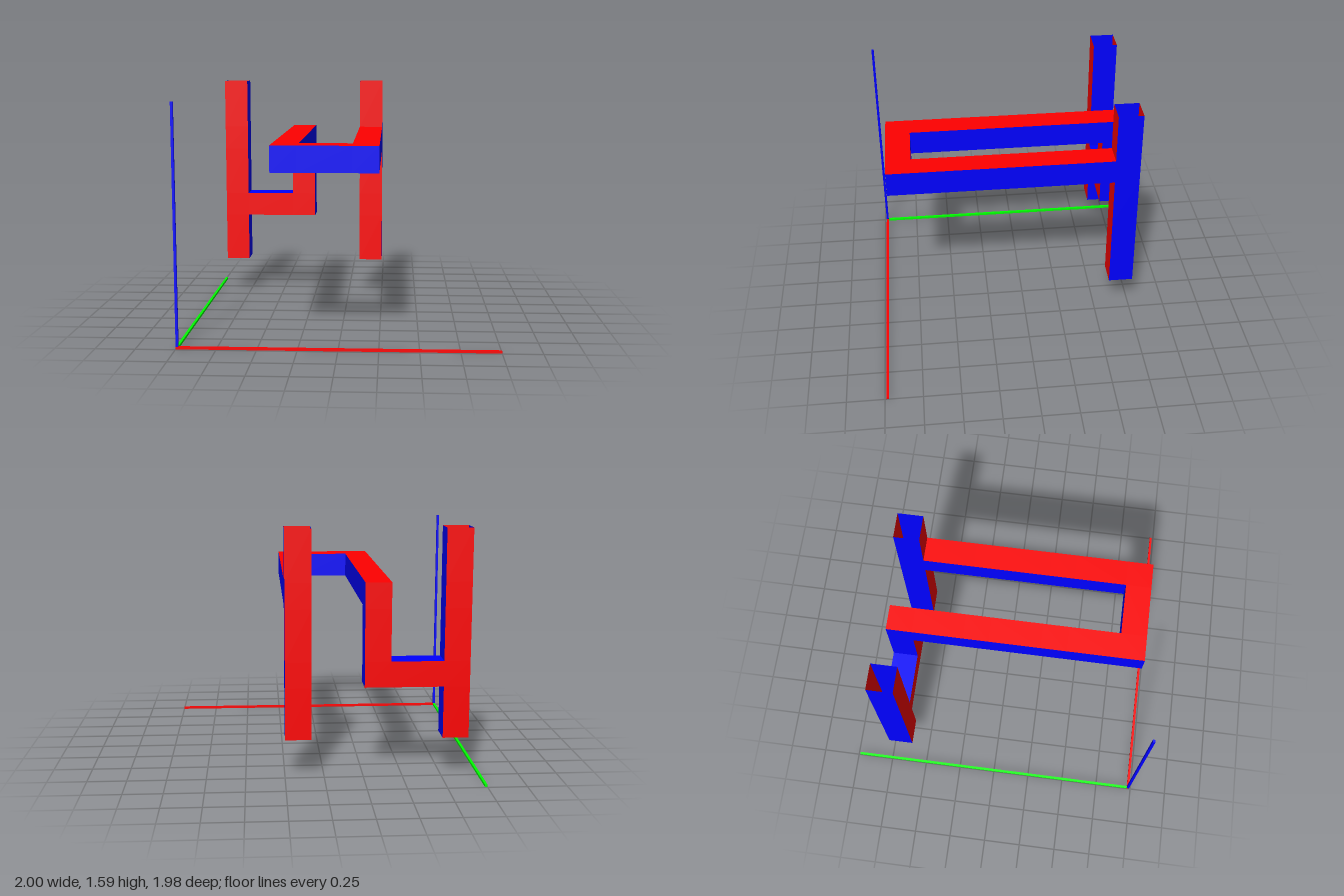
import * as THREE from 'three';

const STEP = 0.501, W = 0.166, GAP = STEP - W;
const ORIGIN = [-0.837, 0.67, -0.677]; // centre of lattice node 0,0,0
const paint = (color) => new THREE.MeshStandardMaterial({ color, side: THREE.DoubleSide, flatShading: true });
const R = paint(0xff0000), B = paint(0x0000ff), G = paint(0x00ff00);

// Hollow block: one thin wall per side, except the sides listed in open ('+x', '-y' ...).
// colors holds the wall materials for the sides facing x, y and z.
function hollowBlock(name, center, size, colors, open) {
  const block = new THREE.Group();
  block.name = name;
  block.position.set(...center);
  ['x', 'y', 'z'].forEach((axis, a) => {
    for (const s of [-1, 1]) {
      if (open.includes((s > 0 ? '+' : '-') + axis)) continue;
      const w = a === 0 ? size[2] : size[0];
      const h = a === 1 ? size[2] : size[1];
      const wall = new THREE.Mesh(new THREE.PlaneGeometry(w, h), colors[a]);
      wall.name = 'wall';
      if (a === 0) wall.rotation.y = s * Math.PI / 2;
      if (a === 1) wall.rotation.x = -s * Math.PI / 2;
      if (a === 2 && s < 0) wall.rotation.y = Math.PI;
      wall.position[axis] = s * size[a] / 2;
      block.add(wall);
    }
  });
  return block;
}

const place = (node) => node.map((n, i) => ORIGIN[i] + n * STEP);

// Joint cube at a lattice node
const joint = (name, node, colors, open) =>
  hollowBlock(name, place(node), [W, W, W], colors, open);

// Open-ended pipe leaving a node along axis a (0 x, 1 y, 2 z) in direction dir
function pipe(name, node, a, dir, colors) {
  const center = place(node), size = [W, W, W];
  center[a] += dir * STEP / 2;
  size[a] = GAP;
  const axis = 'xyz'[a];
  return hollowBlock(name, center, size, colors, ['+' + axis, '-' + axis]);
}

// Upright post with two joints and open ends
function post(name, i, openLow, openHigh) {
  const g = new THREE.Group();
  g.name = name;
  const c = [B, R, R];
  g.add(
    pipe('lowerPipe', [i, 0, 0], 1, -1, c),
    joint('lowerJoint', [i, 0, 0], c, ['+y', '-y', ...openLow]),
    pipe('middlePipe', [i, 0, 0], 1, 1, c),
    joint('upperJoint', [i, 1, 0], c, ['+y', '-y', ...openHigh]),
    pipe('upperPipe', [i, 1, 0], 1, 1, c));
  return g;
}

// Long horizontal arm running to the front
function arm(name, i) {
  const g = new THREE.Group();
  g.name = name;
  const c = [B, R, B];
  for (let k = 0; k < 3; k++) {
    g.add(pipe('armPipe', [i, 1, k], 2, 1, c));
    if (k > 0) g.add(joint('armJoint', [i, 1, k], c, ['+z', '-z']));
  }
  return g;
}

// Thin axis bar
function bar(name, material, size, center) {
  const m = new THREE.Mesh(new THREE.BoxGeometry(...size), material);
  m.name = name;
  m.position.set(...center);
  return m;
}

export function createModel() {
  const model = new THREE.Group();
  model.name = 'pipeDiagram';

  // Posts
  model.add(post('rightPost', 0, ['+x'], []), post('leftPost', 2, [], ['+z']));

  // Low link from the right post to the short riser
  model.add(
    pipe('lowLink', [0, 0, 0], 0, 1, [B, B, R]),
    joint('riserFoot', [1, 0, 0], [B, B, R], ['-x', '+y']),
    pipe('riser', [1, 0, 0], 1, 1, [B, R, R]),
    joint('riserTop', [1, 1, 0], [B, R, R], ['-y', '+z']));

  // Arms and the crosspiece joining them at the front
  model.add(
    arm('rightArm', 1), arm('leftArm', 2),
    joint('rightCorner', [1, 1, 3], [B, R, B], ['+x', '-z']),
    pipe('frontCrosspiece', [1, 1, 3], 0, 1, [B, R, B]),
    joint('leftCorner', [2, 1, 3], [B, R, B], ['-x', '-z']));

  // Axis bars
  const t = 0.016;
  model.add(
    bar('xAxis', R, [2, t, t], [0, 0.008, 0.982]),
    bar('yAxis', B, [t, 1.505, t], [-0.992, 0.7685, 0.982]),
    bar('zAxis', G, [t, t, 1.964], [-0.992, 0.008, -0.008]));
  return model;
}
